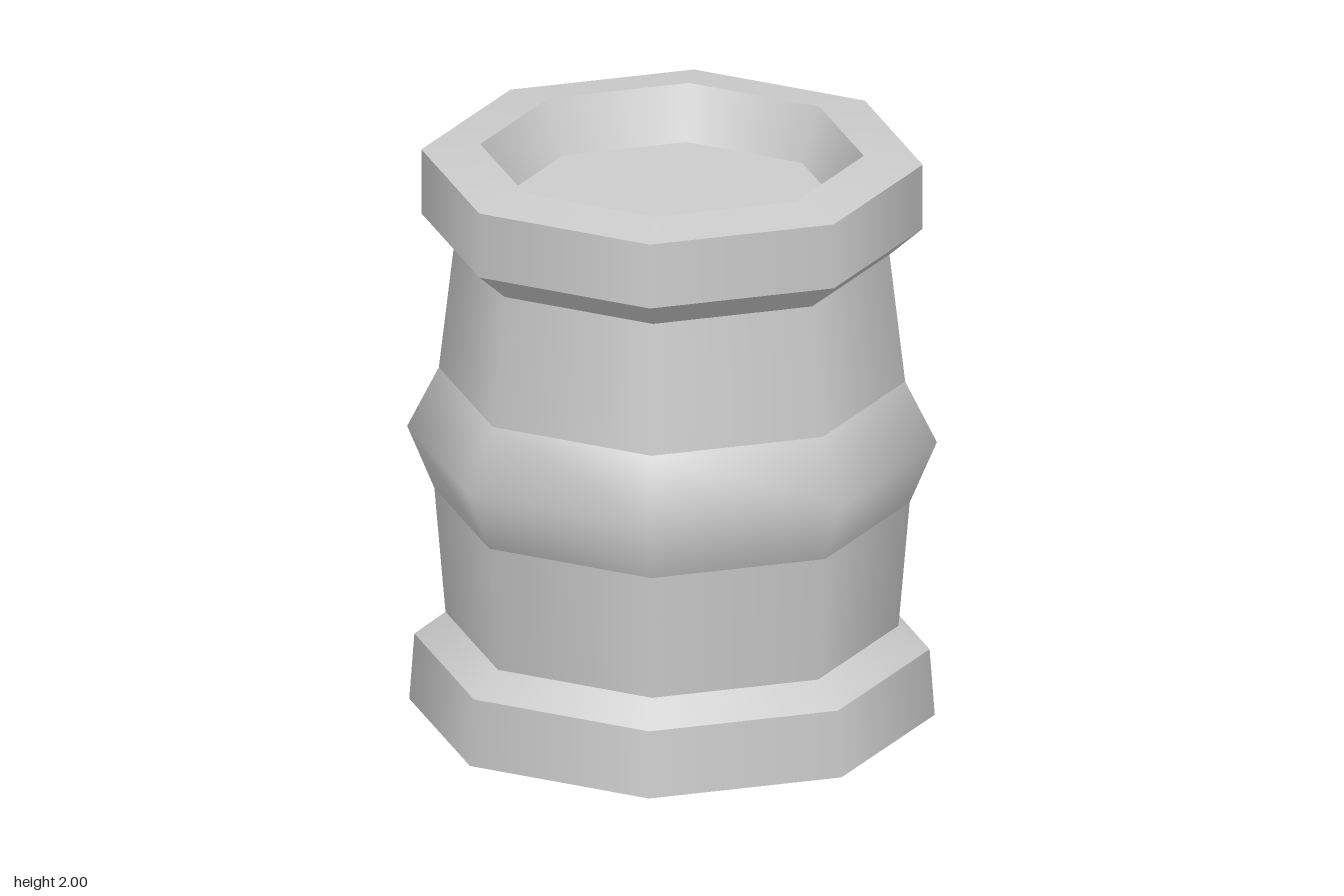
import * as THREE from 'three';

const SIDES = 8;

export function createModel() {
  const model = new THREE.Group();
  model.name = 'barrel';
  const material = new THREE.MeshStandardMaterial({ color: 0xcccccc });

  // Each band is its own lathe: smooth around, with a sharp edge to its neighbours.
  // Profiles are [radius, y], running from the bottom centre round to the top centre.
  const bands = {
    bottomPanel: [[0, 0.11], [0.63, 0.11]],
    bottomRecessWall: [[0.63, 0.11], [0.695, 0]],
    bottomRim: [[0.695, 0], [0.87, 0.04]],
    baseHoop: [[0.87, 0.04], [0.853, 0.27]],
    baseHoopShoulder: [[0.853, 0.27], [0.75, 0.35]],
    lowerBody: [[0.75, 0.35], [0.787, 0.785]],
    middleBulge: [[0.787, 0.785], [0.877, 1], [0.772, 1.21]],
    upperBody: [[0.772, 1.21], [0.72, 1.655]],
    topHoopUnderside: [[0.72, 1.655], [0.83, 1.75]],
    topHoop: [[0.83, 1.75], [0.83, 1.975]],
    topRim: [[0.83, 1.975], [0.635, 2]],
    topRecessWall: [[0.635, 2], [0.56, 1.82]],
    topPanel: [[0.56, 1.82], [0, 1.82]],
  };

  for (const [name, profile] of Object.entries(bands)) {
    const points = profile.map(([r, y]) => new THREE.Vector2(r, y));
    const mesh = new THREE.Mesh(new THREE.LatheGeometry(points, SIDES), material);
    mesh.name = name;
    model.add(mesh);
  }
  return model;
}
